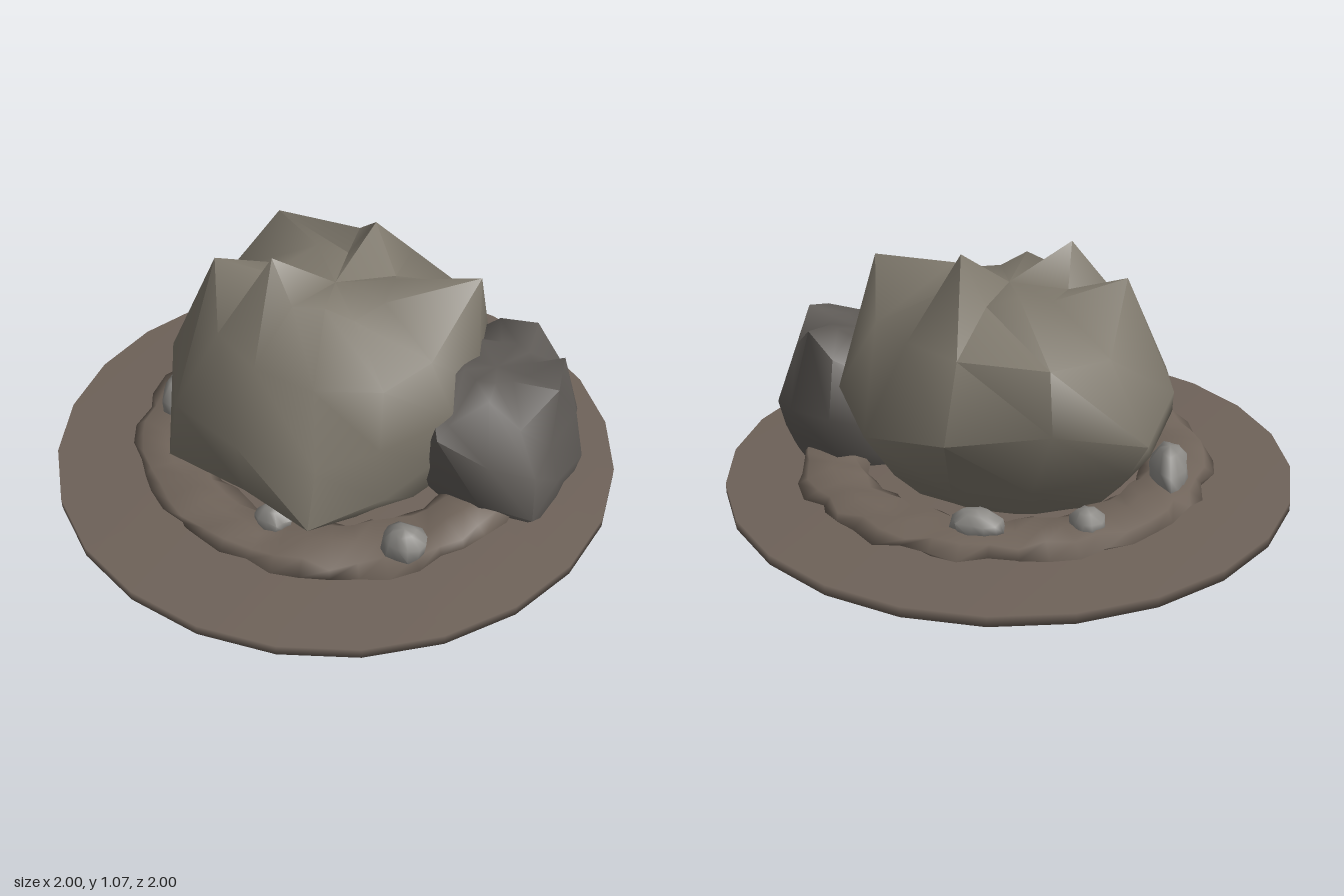
import * as THREE from 'three';
import { mergeVertices, toCreasedNormals } from 'three/addons/utils/BufferGeometryUtils.js';

const paint = (color) => new THREE.MeshStandardMaterial({ color, roughness: 1, side: THREE.DoubleSide });

// Repeatable noise in -1..1 from a whole number
const noise = (n) => {
  const s = Math.sin(n * 127.1 + 11.7) * 43758.5453;
  return 2 * (s - Math.floor(s)) - 1;
};
const pick = (v, k) => (Array.isArray(v) ? v[k] : v);

// Weld a built-in geometry so that every normal is shared and smooth
const weld = (geometry) => mergeVertices(geometry.deleteAttribute('uv').deleteAttribute('normal'));

// Boulder: rings of [heights, radii] from top to bottom, closed by two poles
function boulderGeometry(rings, top, bottom, jitter, seed) {
  const n = 12, pos = [0, top, 0], index = [];
  rings.forEach(([ys, rs], i) => {
    for (let k = 0; k < n; k++) {
      const id = seed + i * 31 + k;
      const a = (k / n) * Math.PI * 2 + noise(id) * 0.06;
      const r = pick(rs, k) * (1 + jitter * noise(id + 500));
      pos.push(Math.cos(a) * r, pick(ys, k) + jitter * 0.35 * noise(id + 900), Math.sin(a) * r);
    }
  });
  const last = 1 + rings.length * n;
  pos.push(0, bottom, 0);
  for (let k = 0; k < n; k++) {
    const m = (k + 1) % n;
    index.push(0, 1 + m, 1 + k, last, last - n + k, last - n + m);
    for (let i = 0; i < rings.length - 1; i++) {
      const a = 1 + i * n + k, b = 1 + i * n + m;
      index.push(a, b, a + n, b, b + n, a + n);
    }
  }
  const geo = new THREE.BufferGeometry();
  geo.setAttribute('position', new THREE.Float32BufferAttribute(pos, 3));
  geo.setIndex(index);
  return toCreasedNormals(geo, 1.2);
}

export function createModel() {
  const group = new THREE.Group();
  const add = (name, geometry, material, x = 0, y = 0, z = 0) => {
    const mesh = new THREE.Mesh(geometry, material);
    mesh.name = name;
    mesh.position.set(x, y, z);
    group.add(mesh);
    return mesh;
  };

  // Flat ground disc with a softly shaded rim
  const disc = weld(new THREE.CylinderGeometry(1, 1, 0.036, 24));
  disc.computeVertexNormals();
  add('groundDisc', disc, paint(0x6e6259), 0, 0.273, 0);

  // Lumpy flattened ring of soil around the rocks, resting on the disc
  const ring = weld(new THREE.TorusGeometry(0.61, 0.12, 8, 48).rotateX(Math.PI / 2));
  const p = ring.attributes.position;
  for (let i = 0; i < p.count; i++) {
    const s = 1 + 0.03 * noise(i + 40);
    const y = p.getY(i) * 0.3 + 0.012 * noise(i + 300);
    p.setXYZ(i, p.getX(i) * s, Math.max(y, -0.035), p.getZ(i) * s);
  }
  ring.computeVertexNormals();
  add('soilRing', ring, paint(0x70645a), 0.01, 0.313, -0.015);

  // Main boulder with a spiked crown, jutting corners and a spiked underside
  add('mainBoulder', boulderGeometry([
    [[0.97, 0.95, 1.0, 0.97, 1.09, 0.97, 0.95, 0.98, 0.95, 1.09, 0.95, 1.0], 0.21],
    [[0.83, 0.8, 0.83, 0.83, 0.84, 1.01, 0.82, 0.89, 0.86, 0.86, 0.84, 1.01],
      [0.43, 0.42, 0.42, 0.4, 0.42, 0.42, 0.48, 0.62, 0.52, 0.46, 0.45, 0.47]],
    [[0.62, 0.6, 0.56, 0.6, 0.6, 0.64, 0.58, 0.68, 0.65, 0.58, 0.63, 0.6],
      [0.5, 0.48, 0.52, 0.53, 0.56, 0.6, 0.65, 0.64, 0.65, 0.61, 0.58, 0.5]],
    [[0.42, 0.4, 0.42, 0.37, 0.4, 0.38, 0.45, 0.4, 0.42, 0.4, 0.42, 0.42],
      [0.45, 0.5, 0.64, 0.48, 0.62, 0.5, 0.58, 0.5, 0.52, 0.5, 0.5, 0.45]],
    [0.24, [0.4, 0.38, 0.38, 0.37, 0.38, 0.4, 0.42, 0.38, 0.36, 0.34, 0.36, 0.38]],
    [[0.15, 0.1, 0.16, 0.07, 0.15, 0.08, 0.16, 0.11, 0.17, 0.07, 0.16, 0.11], 0.21],
  ], 0.96, 0.2, 0.03, 3), paint(0x7d776b));

  // Smaller, darker boulder leaning on the main one
  add('sideBoulder', boulderGeometry([
    [0.73, 0.12],
    [[0.73, 0.6, 0.72, 0.62, 0.68, 0.64, 0.68, 0.64, 0.7, 0.77, 0.66, 0.77],
      [0.24, 0.23, 0.2, 0.26, 0.25, 0.24, 0.26, 0.28, 0.3, 0.24, 0.25, 0.22]],
    [[0.5, 0.46, 0.5, 0.6, 0.5, 0.46, 0.46, 0.46, 0.5, 0.48, 0.45, 0.55],
      [0.25, 0.31, 0.3, 0.32, 0.29, 0.28, 0.3, 0.33, 0.37, 0.34, 0.34, 0.28]],
    [[0.36, 0.33, 0.36, 0.36, 0.33, 0.32, 0.33, 0.34, 0.36, 0.4, 0.36, 0.38],
      [0.28, 0.36, 0.32, 0.29, 0.28, 0.28, 0.28, 0.29, 0.33, 0.32, 0.32, 0.33]],
    [0.23, [0.29, 0.27, 0.24, 0.24, 0.25, 0.28, 0.28, 0.25, 0.27, 0.28, 0.27, 0.29]],
    [[0.12, 0.18, 0.12, 0.16, 0.12, 0.02, 0.14, 0.18, 0.1, 0.15, 0.12, 0.17],
      [0.2, 0.18, 0.15, 0.14, 0.14, 0.13, 0.17, 0.18, 0.2, 0.2, 0.23, 0.2]],
  ], 0.71, 0.2, 0.03, 71), paint(0x5f5b57), 0.5, 0, -0.25);

  // Small stones: x, y, z, half sizes, turn
  const stones = [
    [-0.53, 0.36, 0.26, 0.12, 0.1, 0.07, -0.8],
    [0.57, 0.37, 0.33, 0.075, 0.065, 0.07, 0.3],
    [0.16, 0.35, 0.5, 0.065, 0.05, 0.055, 0.2],
    [-0.37, 0.36, -0.46, 0.09, 0.05, 0.06, 0.5],
    [-0.58, 0.35, -0.18, 0.06, 0.05, 0.06, 1.1],
    [0.39, 0.64, -0.35, 0.07, 0.025, 0.05, 0.9],
    [-0.51, 0.26, 0.25, 0.11, 0.06, 0.07, -0.6],
  ];
  const stoneMaterial = paint(0x8c8a86);
  stones.forEach(([x, y, z, sx, sy, sz, turn], i) => {
    const geo = boulderGeometry([[0.8, 0.5], [0.3, 0.95], [-0.35, 0.95], [-0.8, 0.5]], 0.95, -0.95, 0.14, 200 + i * 57);
    const stone = add('stone' + (i + 1), geo, stoneMaterial, x, y, z);
    stone.scale.set(sx, sy, sz);
    stone.rotation.y = turn;
  });

  return group;
}
